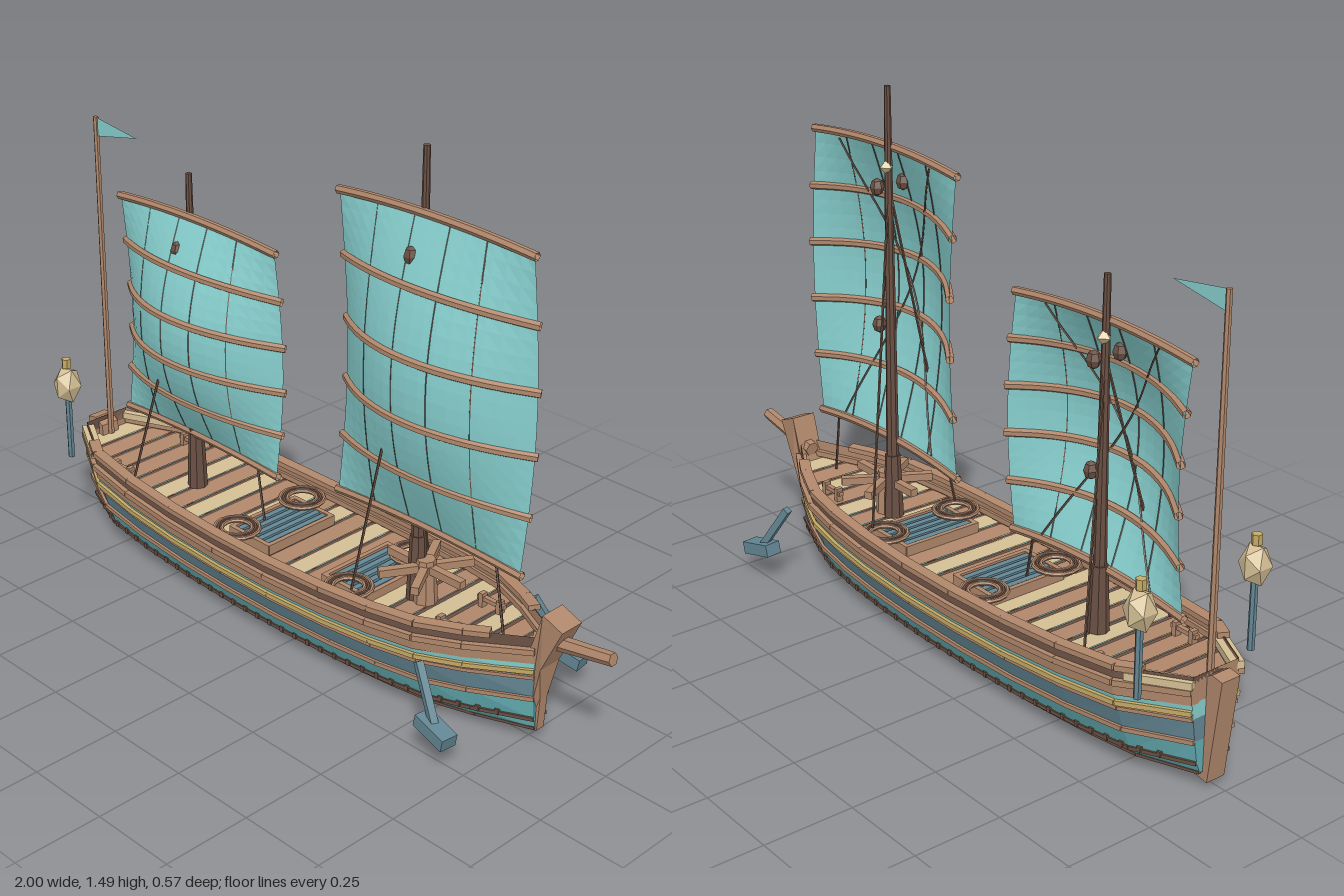
import * as THREE from 'three';

const mat = (name, color) =>
  Object.assign(new THREE.MeshStandardMaterial({ color, side: THREE.DoubleSide, flatShading: true }), { name });

export function createModel() {
  const M = {
    wood: mat('wood', 0xb0876b), dark: mat('darkWood', 0x6a5043), cream: mat('paleWood', 0xd4bf94),
    gold: mat('ochreTrim', 0xc4aa66), sail: mat('sailTeal', 0x86cecd), hull: mat('hullTeal', 0x62abb0),
    slate: mat('slateBlue', 0x638693),
  };
  const root = new THREE.Group();
  const add = (name, geo, m, x = 0, y = 0, z = 0, parent = root) => {
    const mesh = new THREE.Mesh(geo, m);
    mesh.name = name;
    mesh.position.set(x, y, z);
    parent.add(mesh);
    return mesh;
  };
  const group = (name) => {
    const g = new THREE.Group();
    g.name = name;
    root.add(g);
    return g;
  };
  const V = (x, y, z) => new THREE.Vector3(x, y, z);
  // Straight box beam between two points
  const beam = (name, a, b, w, h, m, parent = root) => {
    const mesh = add(name, new THREE.BoxGeometry(w, h, a.distanceTo(b)), m, 0, 0, 0, parent);
    mesh.position.copy(a).add(b).multiplyScalar(0.5);
    mesh.lookAt(b);
  };
  const tube = (name, pts, r, m, parent, n = 14, sides = 6) =>
    add(name, new THREE.TubeGeometry(new THREE.CatmullRomCurve3(pts), n, r, sides), m, 0, 0, 0, parent);
  // Grid surface from a function of two indices
  const grid = (nu, nv, fn) => {
    const pos = [], idx = [];
    for (let i = 0; i <= nu; i++) for (let j = 0; j <= nv; j++) pos.push(...fn(i, j));
    for (let i = 0; i < nu; i++) for (let j = 0; j < nv; j++) {
      const a = i * (nv + 1) + j, b = a + nv + 1;
      idx.push(a, b, a + 1, b, b + 1, a + 1);
    }
    const g = new THREE.BufferGeometry();
    g.setAttribute('position', new THREE.Float32BufferAttribute(pos, 3));
    g.setIndex(idx);
    g.computeVertexNormals();
    return g;
  };

  // Hull plan: station x and half beam; closed at both ends
  const plan = [[-0.95, 0], [-0.95, 0.08], [-0.88, 0.12], [-0.78, 0.18], [-0.6, 0.207], [-0.4, 0.222], [-0.2, 0.228],
    [0, 0.228], [0.2, 0.22], [0.36, 0.205], [0.5, 0.18], [0.62, 0.125], [0.78, 0.03], [0.78, 0]];
  const sheer = (x) => 0.035 * ((x + 0.08) / 0.87) ** 2;
  const halfBeam = (x) => {
    for (let i = 1; i < plan.length - 2; i++) {
      const [x0, b0] = plan[i], [x1, b1] = plan[i + 1];
      if (x <= x1) return b0 + (b1 - b0) * Math.max(0, (x - x0) / (x1 - x0));
    }
    return 0.03;
  };
  const hullPoint = (x, f, y, s, out = 0) => V(x, y + sheer(x), s * (halfBeam(x) * f + out));

  // Strakes: name, material, lower beam and height, upper beam and height
  const hull = group('hull');
  const strakes = [
    ['bottomPlanking', M.slate, 0, 0.004, 0.5, 0.012], ['bilge', M.hull, 0.5, 0.012, 0.64, 0.04],
    ['lowerStrake', M.hull, 0.64, 0.04, 0.77, 0.105], ['middleStrake', M.slate, 0.77, 0.105, 0.88, 0.17],
    ['upperStrake', M.sail, 0.88, 0.17, 0.96, 0.215], ['sheerStrake', M.wood, 0.97, 0.21, 1, 0.252],
    ['bulwark', M.dark, 0.98, 0.25, 0.95, 0.287], ['bulwarkLining', M.wood, 0.95, 0.235, 0.92, 0.287],
  ];
  // Wales, trim and gunwale: name, material, beam, height, thickness, depth
  const trims = [
    ['bottomSeam', M.dark, 0.25, 0.008, 0.008, 0.006], ['bilgeSeam', M.dark, 0.5, 0.012, 0.008, 0.008],
    ['bottomWale', M.dark, 0.64, 0.042, 0.014, 0.01], ['lowerWale', M.wood, 0.78, 0.105, 0.016, 0.012],
    ['upperWale', M.wood, 0.88, 0.17, 0.014, 0.01], ['ochreStrip', M.gold, 0.93, 0.189, 0.018, 0.013],
    ['gunwale', M.wood, 0.97, 0.25, 0.03, 0.016],
  ];
  const railX = [-0.84, -0.78, -0.6, -0.4, -0.2, 0, 0.2, 0.36, 0.5, 0.62, 0.68];
  for (const s of [1, -1]) {
    for (const [name, m, f0, y0, f1, y1] of strakes)
      add(name, grid(plan.length - 1, 1, (i, j) => {
        const [x, b] = plan[i];
        return [x, (j ? y1 : y0) + sheer(x), s * b * (j ? f1 : f0)];
      }), m, 0, 0, 0, hull);
    for (const [name, m, f, y, w, h] of trims)
      for (let i = 1; i < plan.length - 2; i++)
        beam(name, hullPoint(plan[i][0], f, y, s), hullPoint(plan[i + 1][0], f, y, s), w, h, m, hull);
    for (let i = 0; i + 1 < railX.length; i++)
      beam('cappingRail', hullPoint(railX[i], 0.935, 0.289, s), hullPoint(railX[i + 1], 0.935, 0.289, s), 0.032, 0.015, M.wood, hull);
    beam('sternRail', hullPoint(-0.95, 0.9, 0.268, s), hullPoint(-0.8, 0.92, 0.27, s), 0.036, 0.02, M.cream, hull);
    for (let x = -0.86; x < 0.74; x += 0.05) {
      const p = hullPoint(x, 0.65, 0.046, s, 0.003);
      add('hullStud', new THREE.BoxGeometry(0.012, 0.016, 0.01), M.dark, p.x, p.y, p.z, hull);
    }
  }

  // Cross planks of the deck with dark seams, cut to the plan
  const deck = group('deck');
  const deckStrip = (name, x0, w, y, m) => add(name, grid(1, 1, (i, j) => {
    const x = x0 + i * w;
    return [x, y + sheer(x), (j ? -1 : 1) * halfBeam(x) * 0.95];
  }), m, 0, 0, 0, deck);
  const plankCount = 24, plankW = 1.73 / plankCount;
  for (let k = 0; k < plankCount; k++) {
    const x0 = -0.95 + k * plankW;
    deckStrip('deckPlank', x0, plankW - 0.014, 0.234, k === 0 || (k > 3 && k % 2) ? M.cream : M.wood);
    deckStrip('deckSeam', x0 + plankW - 0.014, 0.014, 0.232, M.dark);
  }

  // Hatches with gratings, and rope coils beside them
  for (const hx of [-0.17, 0.2]) {
    const hatch = group('hatch');
    add('hatchBase', new THREE.BoxGeometry(0.15, 0.02, 0.24), M.wood, hx, 0.242, 0, hatch);
    for (let i = 0; i < 5; i++)
      add('hatchSlat', new THREE.BoxGeometry(0.018, 0.012, 0.23), M.slate, hx - 0.054 + i * 0.027, 0.256, 0, hatch);
    for (const s of [1, -1]) {
      add('hatchSide', new THREE.BoxGeometry(0.014, 0.03, 0.25), M.wood, hx + s * 0.075, 0.25, 0, hatch);
      add('hatchEnd', new THREE.BoxGeometry(0.16, 0.03, 0.014), M.wood, hx, 0.25, s * 0.12, hatch);
      for (const [r, m] of [[0.064, M.wood], [0.053, M.dark], [0.042, M.wood]])
        add('ropeCoil', new THREE.TorusGeometry(r, 0.006, 6, 16).rotateX(Math.PI / 2), m,
          hx < 0 ? -0.22 : 0.22, 0.27, s * 0.125, hatch);
    }
  }

  // Stem tapering to the keel, stern post and bowsprit
  const post = (name, pts, widthAt) => {
    const shape = new THREE.Shape(pts.map(([x, y]) => new THREE.Vector2(x, y)));
    const geo = new THREE.ExtrudeGeometry(shape, { depth: 1, bevelEnabled: false }).translate(0, 0, -0.5);
    const p = geo.attributes.position;
    for (let i = 0; i < p.count; i++) p.setZ(i, p.getZ(i) * widthAt(p.getY(i)));
    geo.computeVertexNormals();
    add(name, geo, M.wood);
  };
  post('sternPost', [[-0.965, 0.02], [-0.91, 0.03], [-0.935, 0.3], [-0.965, 0.318], [-1, 0.312]], () => 0.06);
  post('stem', [[0.75, 0.03], [0.785, 0.04], [0.792, 0.14], [0.805, 0.24], [0.868, 0.375], [0.805, 0.4], [0.755, 0.24], [0.75, 0.14]],
    (y) => THREE.MathUtils.clamp(0.028 + (y - 0.14) * 0.45, 0.028, 0.075));
  const sprit = add('bowsprit', new THREE.CylinderGeometry(0.018, 0.022, 0.24, 6), M.wood, 0.88, 0.325, 0);
  sprit.rotation.z = -Math.PI / 2 + 0.17;

  // Capstan with three crossing bars
  const capstan = group('capstan');
  add('capstanDrum', new THREE.CylinderGeometry(0.026, 0.034, 0.14, 8), M.wood, 0.38, 0.3, 0, capstan);
  for (let k = 0; k < 3; k++)
    add('capstanBar', new THREE.BoxGeometry(0.26, 0.022, 0.022), M.wood, 0.38, 0.345, 0, capstan).rotation.y = k * Math.PI / 3;

  // Mooring bitts at stern and bow
  for (const [bx, bz] of [[-0.71, 0.13], [0.54, 0.08]]) for (const s of [1, -1]) {
    const bitts = group('mooringBitts');
    for (const d of [-0.03, 0.03]) add('bittPost', new THREE.BoxGeometry(0.014, 0.06, 0.02), M.wood, bx + d, 0.26, s * bz, bitts);
    add('bittBar', new THREE.BoxGeometry(0.09, 0.012, 0.014), M.wood, bx, 0.275, s * bz, bitts);
  }

  // Masts with battened sails
  const rig = (name, mx, top, x0, x1, yLow, yHigh, blocks, shroudX, sheetX) => {
    const g = group(name);
    add('mast', new THREE.CylinderGeometry(0.009, 0.02, top - 0.23, 8), M.dark, mx, (top + 0.23) / 2, 0, g);
    add('mastStep', new THREE.CylinderGeometry(0.022, 0.03, 0.2, 8), M.dark, mx, 0.33, 0, g);
    const onSail = (u, v, out = 0) => {
      const arc = 1 - (2 * u - 1) ** 2, belly = Math.sin(Math.PI * v);
      return V(x0 + (x1 - x0) * u + 0.03 * belly, yLow + (yHigh - yLow) * v + 0.018 * arc, 0.004 + arc * (0.008 + 0.115 * belly) + out);
    };
    add('sail', grid(16, 20, (i, j) => onSail(i / 16, j / 20).toArray()), M.sail, 0, 0, 0, g);
    const row = (n, fn) => Array.from({ length: n + 1 }, (_, i) => fn(i / n));
    for (let k = 0; k <= 5; k++)
      tube('batten', row(8, (t) => onSail(-0.01 + 1.02 * t, k / 5)), 0.012, M.wood, g, 16);
    for (const u of [0.22, 0.42, 0.6, 0.78])
      tube('sailSeam', row(10, (t) => onSail(u, t, -0.001)), 0.002, M.dark, g, 20, 4);
    // Crossing braces behind the sail
    for (const s of [1, -1])
      tube('brace', row(10, (t) => onSail(0.5 + s * 0.32 * (2 * t - 1), 0.02 + 0.96 * t, -0.008)), 0.003, M.dark, g, 20, 4);
    // Blocks on the mast, one on the face of the sail, and a pale masthead toggle
    const block = new THREE.SphereGeometry(0.02, 6, 4).scale(1, 1.25, 1);
    for (const y of blocks) add('block', block, M.dark, mx, y, -0.038, g);
    add('sailBlock', block, M.dark, mx, blocks[0], 0.048, g);
    add('mastToggle', new THREE.OctahedronGeometry(0.022), M.cream, mx, blocks[0] + 0.05, -0.006, g);
    // Shrouds to both rails and a sheet from the foot of the sail
    for (const s of [1, -1])
      tube('shroud', [V(mx, blocks[0], 0), V(shroudX, 0.28, s * 0.145)], 0.0038, M.dark, g, 1, 5);
    tube('sheet', [onSail(0.88, 0), V(sheetX, 0.26, 0.03)], 0.0038, M.dark, g, 1, 5);
  };
  rig('foreRig', 0.35, 1.49, 0.06, 0.7, 0.455, 1.305, [1.22, 0.83], 0.25, 0.68);
  rig('aftRig', -0.53, 1.2, -0.825, -0.185, 0.4, 1.062, [0.99, 0.7], -0.64, -0.21);

  // Flagpole and pennant
  add('flagpole', new THREE.CylinderGeometry(0.008, 0.01, 1, 6), M.wood, -0.93, 0.77, 0);
  const pennant = new THREE.Shape([[0, 0], [0.175, -0.022], [0, -0.055]].map(([x, y]) => new THREE.Vector2(x, y)));
  add('pennant', new THREE.ShapeGeometry(pennant), M.sail, -0.925, 1.268, 0);

  // Stern lanterns and bow paddles on both sides
  for (const s of [1, -1]) {
    const lantern = group('sternLantern');
    add('lanternPole', new THREE.CylinderGeometry(0.01, 0.01, 0.19, 6), M.slate, -0.88, 0.37, s * 0.19, lantern);
    add('lanternBody', new THREE.IcosahedronGeometry(0.043, 0), M.cream, -0.88, 0.51, s * 0.19, lantern).scale.y = 1.4;
    add('lanternCap', new THREE.CylinderGeometry(0.014, 0.014, 0.028, 6), M.gold, -0.88, 0.578, s * 0.19, lantern);

    const paddle = group('bowPaddle');
    beam('paddleShaft', V(0.565, 0.24, s * 0.222), V(0.655, 0.1, s * 0.255), 0.02, 0.02, M.slate, paddle);
    beam('paddleBlade', V(0.605, 0.108, s * 0.25), V(0.71, 0.085, s * 0.262), 0.05, 0.036, M.slate, paddle);
  }
  return root;
}
